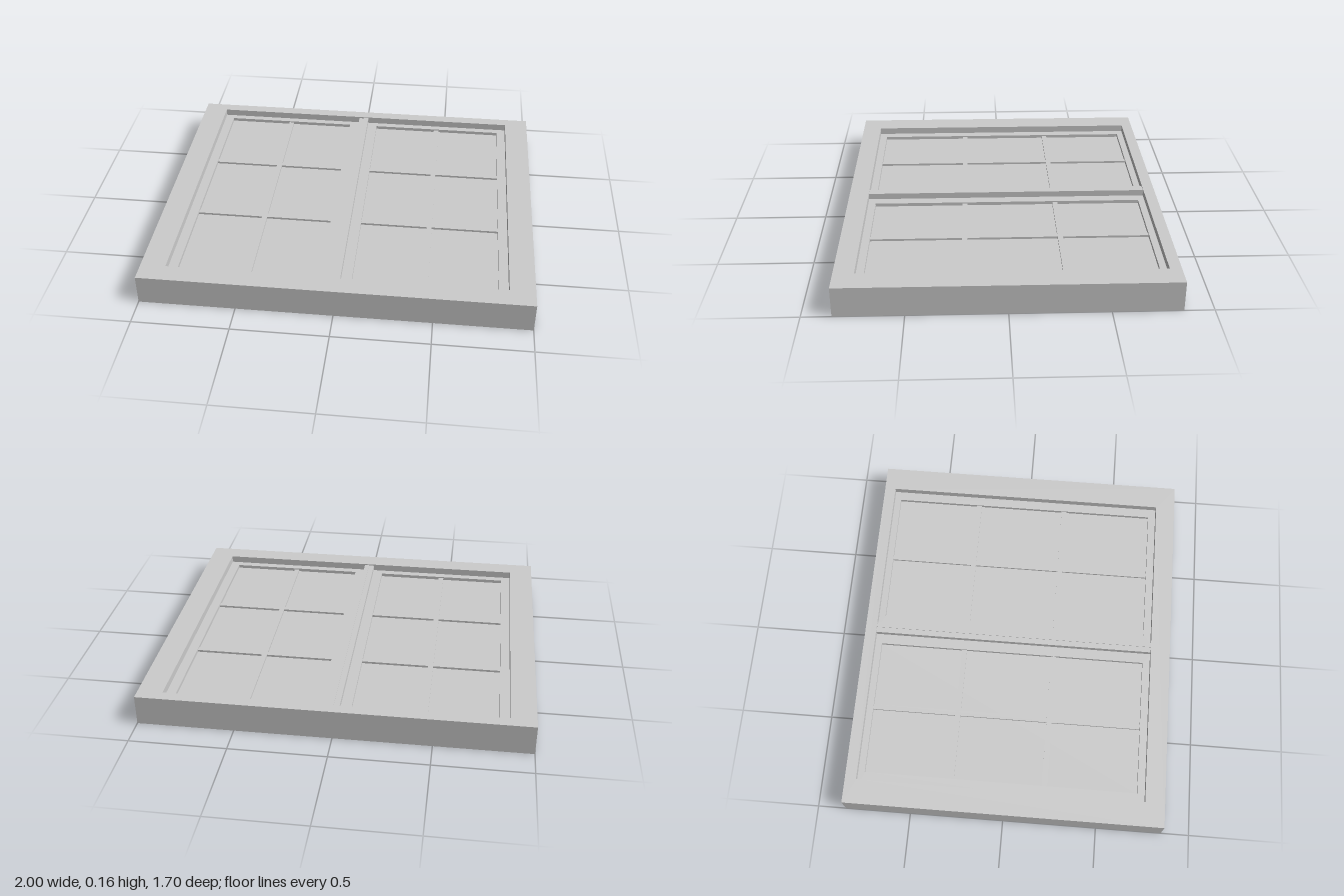
import * as THREE from 'three';

const material = new THREE.MeshStandardMaterial({ color: 0xcccccc, flatShading: true });

function add(group, name, geometry) {
  const mesh = new THREE.Mesh(geometry, material);
  mesh.name = name;
  group.add(mesh);
  return mesh;
}

// Solid block given by its limits on each axis
function block(group, name, [x0, x1], [y0, y1], [z0, z1]) {
  const mesh = add(group, name, new THREE.BoxGeometry(x1 - x0, y1 - y0, z1 - z0));
  mesh.position.set((x0 + x1) / 2, (y0 + y1) / 2, (z0 + z1) / 2);
  return mesh;
}

// Flat rectangular ring; outer and hole are [x0, x1, z0, z1]
function ring(group, name, outer, hole, y0, y1) {
  const corners = ([x0, x1, z0, z1]) =>
    [[x0, -z1], [x1, -z1], [x1, -z0], [x0, -z0]].map(p => new THREE.Vector2(...p));
  const shape = new THREE.Shape(corners(outer));
  shape.holes.push(new THREE.Path(corners(hole).reverse()));
  const geometry = new THREE.ExtrudeGeometry(shape, { depth: y1 - y0, bevelEnabled: false });
  geometry.rotateX(-Math.PI / 2);
  geometry.translate(0, y0, 0);
  return add(group, name, geometry);
}

// One casement: stiles and rails, glass, and a 2 x 3 grid of glazing bars
function sash(name, outer, hole) {
  const group = new THREE.Group();
  group.name = name;
  const [x0, x1, z0, z1] = hole;
  ring(group, 'sashFrame', outer, hole, 0.085, 0.122);
  block(group, 'glass', [x0, x1], [0.098, 0.104], [z0, z1]);
  const half = 0.014, bar = [0.09, 0.115];
  const mid = (x0 + x1) / 2;
  block(group, 'longGlazingBar', [mid - half, mid + half], bar, [z0, z1]);
  for (const z of [-0.29, 0.21]) {
    block(group, 'crossGlazingBar', [x0, x1], bar, [z - half, z + half]);
  }
  return group;
}

// Lever handle on the inner (lower) face
function handle() {
  const group = new THREE.Group();
  group.name = 'handle';
  block(group, 'handlePlate', [0.01, 0.05], [0.077, 0.085], [-0.11, 0.03]);
  const neck = add(group, 'handleNeck', new THREE.CylinderGeometry(0.011, 0.011, 0.05, 12));
  neck.position.set(0.03, 0.055, -0.04);
  const lever = add(group, 'handleLever', new THREE.CylinderGeometry(0.009, 0.009, 0.18, 12));
  lever.rotation.z = Math.PI / 2;
  lever.position.set(-0.05, 0.033, -0.04);
  block(group, 'latchKeeper', [-0.045, -0.015], [0.065, 0.085], [-0.07, -0.01]);
  return group;
}

export function createModel() {
  const model = new THREE.Group();
  model.name = 'casementWindow';

  // Outer frame: deep lower surround with a wider lip on top
  const outer = [-1, 1, -0.85, 0.85];
  ring(model, 'frameSurround', outer, [-0.93, 0.93, -0.79, 0.78], 0, 0.12);
  ring(model, 'frameLip', outer, [-0.87, 0.87, -0.79, 0.745], 0.12, 0.16);

  // Pair of sashes meeting in the middle
  model.add(sash('rightSash', [-0.93, -0.002, -0.79, 0.78], [-0.82, -0.085, -0.755, 0.705]));
  model.add(sash('leftSash', [0.002, 0.93, -0.79, 0.78], [0.08, 0.82, -0.755, 0.705]));

  // Raised cover strips over the meeting joint
  block(model, 'rightCoverStrip', [-0.03, 0], [0.12, 0.152], [-0.79, 0.745]);
  block(model, 'leftCoverStrip', [0, 0.025], [0.12, 0.155], [-0.79, 0.745]);

  model.add(handle());
  return model;
}
